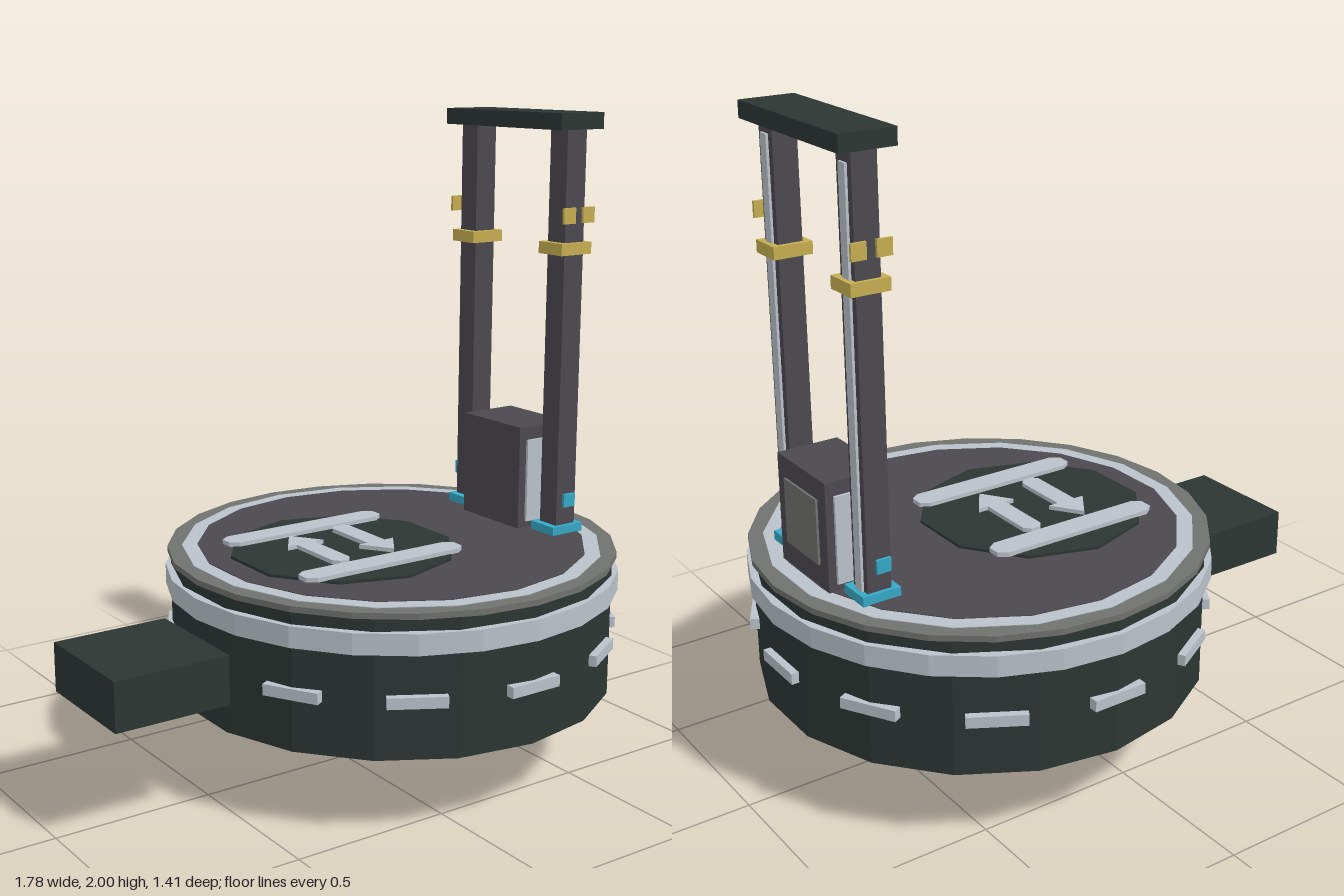
import * as THREE from 'three';

const mat = (name, color) => new THREE.MeshStandardMaterial({ name, color });

export function createModel() {
  const hull = mat('dark hull', 0x2d3634);
  const slate = mat('slate', 0x4c494e);
  const pale = mat('pale grey', 0xbac2c9);
  const grey = mat('mid grey', 0x70726f);
  const yellow = mat('yellow', 0xc6ae52);
  const blue = mat('blue', 0x36a8c6);

  const root = new THREE.Group();
  root.name = 'platform';
  const CX = 0.178; // centre of the round platform

  const add = (name, geo, material, parent = root) => {
    const flat = geo.index ? geo.toNonIndexed() : geo;
    flat.computeVertexNormals();
    const mesh = new THREE.Mesh(flat, material);
    mesh.name = name;
    parent.add(mesh);
    return mesh;
  };
  // Box from min and max corners
  const box = (name, x0, x1, y0, y1, z0, z1, material, parent) => {
    const mesh = add(name, new THREE.BoxGeometry(x1 - x0, y1 - y0, z1 - z0), material, parent);
    mesh.position.set((x0 + x1) / 2, (y0 + y1) / 2, (z0 + z1) / 2);
    return mesh;
  };
  const disc = (name, rTop, rBottom, y0, y1, sides, material, x = CX) => {
    const mesh = add(name, new THREE.CylinderGeometry(rTop, rBottom, y1 - y0, sides), material);
    mesh.position.set(x, (y0 + y1) / 2, 0);
    return mesh;
  };

  // Round body
  disc('lowerCone', 0.62, 0.069, 0, 0.246, 18, hull);
  disc('drum', 0.69, 0.69, 0.245, 0.67, 18, hull);
  disc('sideBand', 0.707, 0.707, 0.563, 0.627, 24, pale);
  disc('rim', 0.70, 0.70, 0.666, 0.684, 24, grey);
  disc('deckRing', 0.655, 0.655, 0.67, 0.686, 18, pale);
  disc('deck', 0.607, 0.607, 0.67, 0.688, 18, slate);

  // Lights around the drum
  for (let i = 0; i < 12; i++) {
    const a = (i * Math.PI) / 6;
    const light = add('sideLight', new THREE.BoxGeometry(0.174, 0.034, 0.03), pale);
    light.position.set(CX + Math.sin(a) * 0.688, 0.423, Math.cos(a) * 0.688);
    light.rotation.y = a;
  }

  // Side arm
  box('sideArm', -0.895, -0.53, 0.36, 0.512, -0.19, 0.19, hull);

  // Landing pad with flat markings; shape points are [x, -z]
  disc('pad', 0.35, 0.35, 0.68, 0.697, 10, hull, -0.01);
  const marking = (name, points, x, z, turn = 0) => {
    const shape = new THREE.Shape(points.map(([px, py]) => new THREE.Vector2(px, py)));
    const geo = new THREE.ExtrudeGeometry(shape, { depth: 0.014, bevelEnabled: false });
    geo.rotateX(-Math.PI / 2);
    const mesh = add(name, geo, pale);
    mesh.position.set(x, 0.696, z);
    mesh.rotation.y = turn;
  };
  const bar = [[-0.285, -0.02], [-0.257, -0.04], [0.257, -0.04], [0.285, -0.02],
    [0.285, 0.02], [0.257, 0.04], [-0.257, 0.04], [-0.285, 0.02]];
  const arrow = [[-0.016, -0.155], [0.016, -0.155], [0.032, -0.135], [0.032, 0.055],
    [0.065, 0.055], [0, 0.15], [-0.065, 0.055], [-0.032, 0.055], [-0.032, -0.135]];
  for (const s of [-1, 1]) marking('padBar', bar, -0.012, s * 0.214);
  marking('arrowBack', arrow, -0.107, 0);
  marking('arrowFront', arrow, 0.083, -0.005, Math.PI);

  // Gantry
  const gantry = new THREE.Group();
  gantry.name = 'gantry';
  root.add(gantry);
  box('topBeam', 0.592, 0.763, 1.95, 2, -0.275, 0.275, hull, gantry);
  for (const s of [-1, 1]) {
    const post = new THREE.Group();
    post.name = s > 0 ? 'frontPost' : 'backPost';
    gantry.add(post);
    const part = (name, x0, x1, y0, y1, za, zb, m) =>
      box(name, x0, x1, y0, y1, Math.min(s * za, s * zb), Math.max(s * za, s * zb), m, post);
    part('column', 0.64, 0.716, 0.685, 1.95, 0.176, 0.252, slate);
    part('rail', 0.715, 0.724, 0.7, 1.915, 0.198, 0.232, pale);
    part('foot', 0.617, 0.738, 0.685, 0.715, 0.16, 0.265, blue);
    part('collar', 0.617, 0.738, 1.573, 1.61, 0.16, 0.265, yellow);
    part('lowerTag', 0.651, 0.696, 0.778, 0.82, 0.266, 0.275, blue);
    part('upperTag', 0.615, 0.662, 1.67, 1.718, 0.266, 0.275, yellow);
    part('upperTag', 0.692, 0.738, 1.67, 1.718, 0.266, 0.275, yellow);
  }

  // Console between the posts
  const cabinet = new THREE.Group();
  cabinet.name = 'console';
  root.add(cabinet);
  box('cabinet', 0.58, 0.774, 0.685, 1.02, -0.138, 0.138, slate, cabinet);
  box('screen', 0.773, 0.781, 0.758, 0.957, -0.093, 0.093, grey, cabinet);
  for (const s of [-1, 1]) {
    box('sidePanel', 0.607, 0.749, 0.71, 0.977, s * 0.142 - 0.005, s * 0.142 + 0.005, pale, cabinet);
  }

  return root;
}
